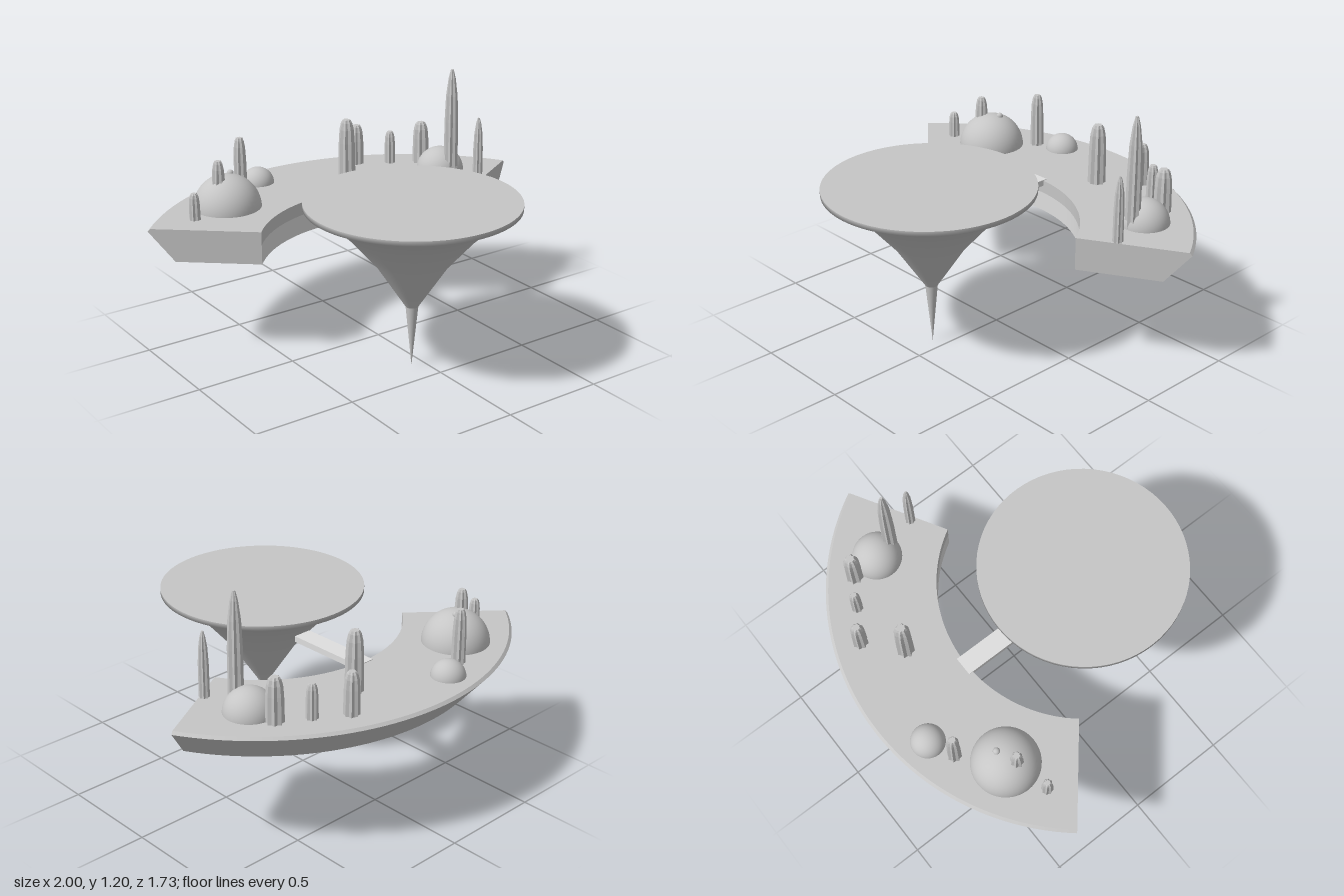
import * as THREE from 'three';

export function createModel() {
  const model = new THREE.Group();
  model.name = 'floatingCity';
  const grey = new THREE.MeshStandardMaterial({ color: 0xc6c6c6, side: THREE.DoubleSide });
  grey.name = 'hull grey';
  const pale = new THREE.MeshStandardMaterial({ color: 0xdedede, side: THREE.DoubleSide });
  pale.name = 'pale grey';
  const CX = -0.065, CZ = 0.36, DECK = 0.65;
  const rad = THREE.MathUtils.degToRad;
  const pts = (list) => list.map(([x, y]) => new THREE.Vector2(x, y));

  function add(name, geometry, material, x = 0, y = 0, z = 0, parent = model) {
    const mesh = new THREE.Mesh(geometry, material);
    mesh.name = name;
    mesh.position.set(x, y, z);
    parent.add(mesh);
    return mesh;
  }

  // Round plaza on a flared funnel ending in a spike
  const plaza = new THREE.Group();
  plaza.name = 'plaza';
  plaza.position.set(CX, 0, CZ);
  model.add(plaza);
  add('spike', new THREE.LatheGeometry(pts([[0, 0], [0.03, 0.305]]), 48), grey, 0, 0, 0, plaza);
  add('funnel', new THREE.LatheGeometry(pts([
    [0.03, 0.305], [0.17, 0.52], [0.3, 0.67], [0.42, 0.785], [0.5, 0.802], [0.5, 0.825],
  ]), 72), grey, 0, 0, 0, plaza);
  add('plazaTop', new THREE.CircleGeometry(0.5, 72).rotateX(-Math.PI / 2), grey, 0, 0.825, 0, plaza);

  // Curved platform: each side of the cross-section swept through 110 degrees
  const arc = new THREE.Group();
  arc.name = 'platform';
  arc.position.set(CX, 0, CZ);
  model.add(arc);
  const start = rad(120), sweep = rad(110);
  const section = [
    [0.695, 0.49], [1.102, 0.49], [1.226, 0.637], [1.213, DECK], [0.695, DECK], [0.695, 0.585],
  ];
  const sides = ['underside', 'outerWall', 'rimEdge', 'deck', 'innerWallUpper', 'innerWallLower'];
  sides.forEach((name, i) => {
    const profile = pts([section[i], section[(i + 1) % section.length]]);
    add(name, new THREE.LatheGeometry(profile, 48, start, sweep),
      name === 'innerWallLower' ? pale : grey, 0, 0, 0, arc);
  });
  for (const phi of [start, start + sweep]) {
    const cap = add('endWall', new THREE.ShapeGeometry(new THREE.Shape(pts(section))), grey, 0, 0, 0, arc);
    cap.rotation.y = phi - Math.PI / 2;
  }

  // Walkway between platform and funnel
  add('bridge', new THREE.BoxGeometry(0.096, 0.03, 0.43), pale, CX, 0.638, -0.14);

  // Domes: x, z, radius
  for (const [x, z, r] of [[-0.55, -0.48, 0.165], [-0.25, -0.7, 0.083], [0.635, -0.34, 0.121]]) {
    add('dome', new THREE.SphereGeometry(r, 40, 14, 0, Math.PI * 2, 0, Math.PI / 2), grey, x, DECK - 0.005, z);
  }
  add('domeKnob', new THREE.SphereGeometry(0.017, 16, 10), grey, -0.515, 0.805, -0.505);

  // Fluted tower: star-shaped rings tapering upward, with a cap
  function towerGeometry(r, h, rings) {
    const n = 16, pos = [], index = [];
    for (const [t, s] of rings) {
      for (let i = 0; i < n; i++) {
        const a = (i / n) * Math.PI * 2, q = r * s * (i % 2 ? 0.8 : 1);
        pos.push(q * Math.sin(a), t * h, q * Math.cos(a));
      }
    }
    const last = (rings.length - 1) * n, tip = rings.length * n;
    pos.push(0, h, 0);
    for (let i = 0; i < n; i++) {
      const j = (i + 1) % n;
      for (let k = 0; k < last; k += n) {
        index.push(k + i, k + j, k + n + j, k + i, k + n + j, k + n + i);
      }
      index.push(last + i, last + j, tip);
    }
    const g = new THREE.BufferGeometry();
    g.setAttribute('position', new THREE.Float32BufferAttribute(pos, 3));
    g.setIndex(index);
    const flat = g.toNonIndexed();
    flat.computeVertexNormals();
    return flat;
  }
  const blunt = [[0, 1], [0.6, 0.94], [0.83, 0.84], [0.95, 0.66], [1, 0.48]];
  const pointed = [[0, 1], [0.5, 0.97], [0.75, 0.82], [0.92, 0.5], [1, 0.2]];

  // Towers: x, z, radius, top height, profile
  const towers = [
    [-0.765, -0.41, 0.028, 0.78, blunt],
    [-0.605, -0.46, 0.034, 0.895, blunt],
    [-0.38, -0.645, 0.034, 0.922, blunt],
    [0.17, -0.515, 0.044, 0.95, blunt],
    [0.33, -0.66, 0.038, 0.858, blunt],
    [0.48, -0.57, 0.029, 0.82, blunt],
    [0.618, -0.485, 0.043, 0.868, blunt],
    [0.638, -0.255, 0.036, 1.195, pointed],
    [0.69, -0.1, 0.025, 0.97, pointed],
  ];
  for (const [x, z, r, top, rings] of towers) {
    add('tower', towerGeometry(r, top - DECK, rings), grey, x, DECK, z);
  }
  return model;
}
